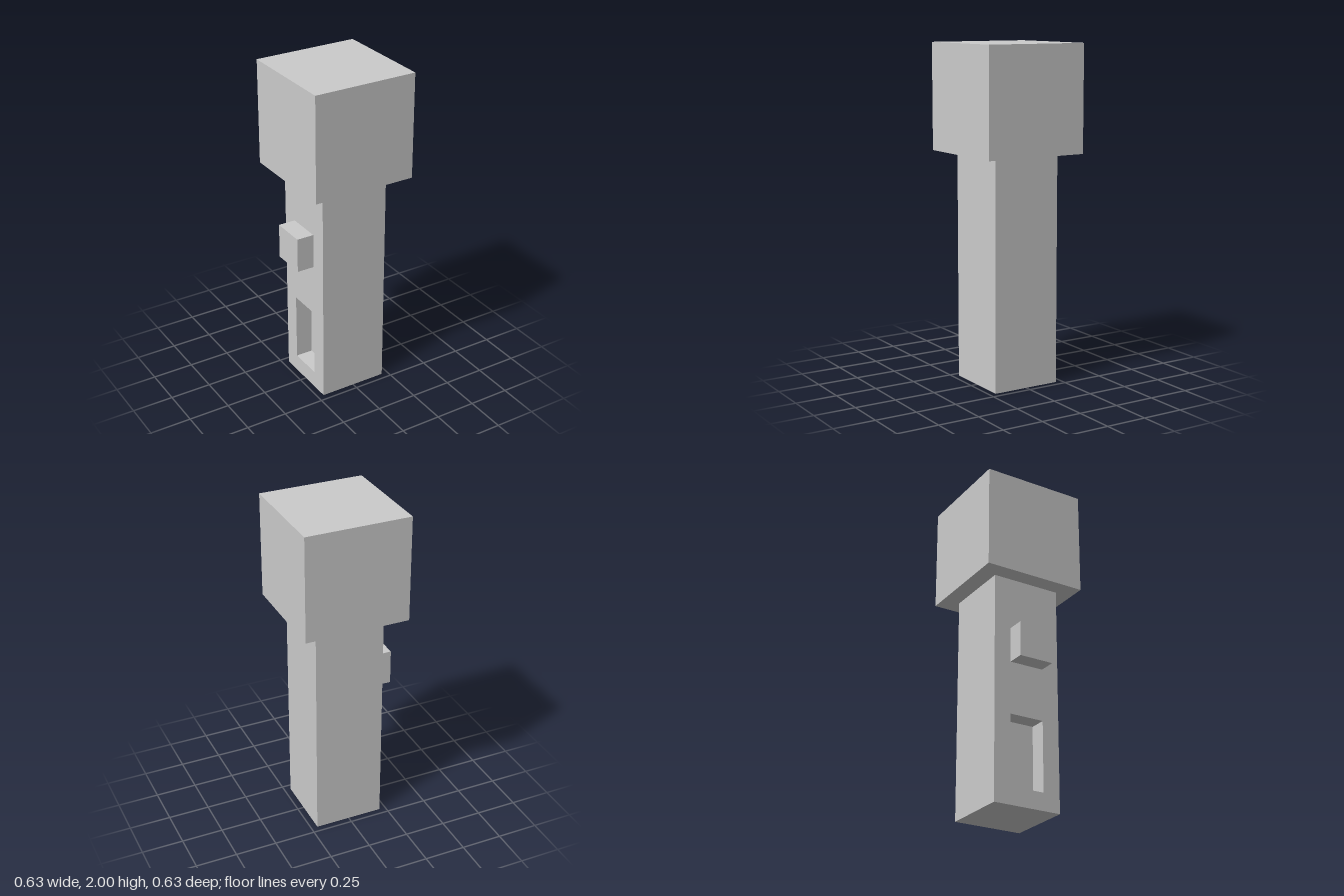
import * as THREE from 'three';

// The whole model sits on a regular grid, 19 units tall
const U = 2 / 19;

export function createModel() {
  const group = new THREE.Group();
  const material = new THREE.MeshStandardMaterial({ color: 0xcccccc, flatShading: true });

  const add = (name, geometry, x, y, z = 0) => {
    const mesh = new THREE.Mesh(geometry, material);
    mesh.name = name;
    mesh.position.set(x * U, y * U, z * U);
    group.add(mesh);
    return mesh;
  };
  const box = (w, h, d) => new THREE.BoxGeometry(w * U, h * U, d * U);

  // Counter-clockwise rectangle, centred across, from y0 to y1
  const rectangle = (Type, w, y0, y1) => new Type([
    [-w / 2, y0], [w / 2, y0], [w / 2, y1], [-w / 2, y1],
  ].map(([x, y]) => new THREE.Vector2(x * U, y * U)));

  // Square head
  add('head', box(6, 6, 6), 0, 16);

  // Handle: solid core, and a side panel with a slot cut through it
  add('handleCore', box(3, 13, 4), 0.5, 6.5);
  const panel = rectangle(THREE.Shape, 4, 0, 13);
  panel.holes.push(rectangle(THREE.Path, 2, 1, 5));
  const panelGeometry = new THREE.ExtrudeGeometry(panel, { depth: U, bevelEnabled: false });
  panelGeometry.rotateY(-Math.PI / 2);
  add('slottedHandlePanel', panelGeometry, -1, 0);

  // Button above the slot
  add('button', box(1, 2, 2), -2.5, 9);

  return group;
}
